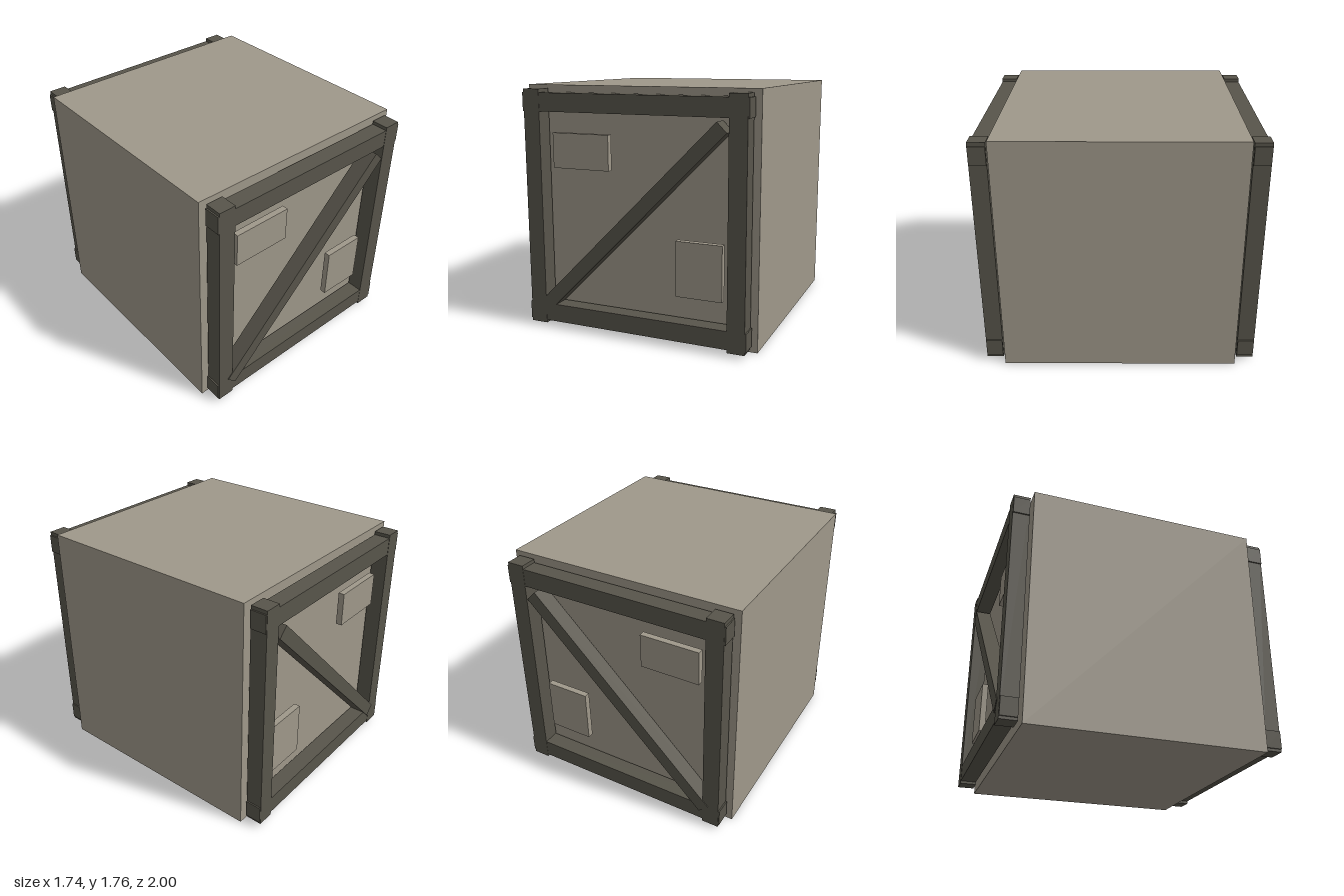
import * as THREE from 'three';

export function createModel() {
  const model = new THREE.Group();
  model.name = 'crate';

  const bodyColor = new THREE.MeshStandardMaterial({ color: 0x9f988a, flatShading: true });
  bodyColor.name = 'warm grey';
  const frameColor = new THREE.MeshStandardMaterial({ color: 0x58554b, flatShading: true });
  frameColor.name = 'dark olive grey';

  // Box given by its lower and upper limits on each axis
  function addBox(parent, name, material, [x0, x1], [y0, y1], [z0, z1]) {
    const mesh = new THREE.Mesh(new THREE.BoxGeometry(x1 - x0, y1 - y0, z1 - z0), material);
    mesh.position.set((x0 + x1) / 2, (y0 + y1) / 2, (z0 + z1) / 2);
    mesh.name = name;
    parent.add(mesh);
    return mesh;
  }

  // Main body
  addBox(model, 'body', bodyColor, [-0.872, 0.872], [0, 1.76], [-0.855, 0.855]);

  // The same frame stands off the front and the back
  for (const side of [1, -1]) {
    const end = new THREE.Group();
    end.name = side > 0 ? 'frontFrame' : 'backFrame';
    const depth = (near, far) => (side > 0 ? [near, far] : [-far, -near]);

    // Upright posts
    addBox(end, 'leftPost', frameColor, [0.70, 0.825], [0.03, 1.735], depth(0.872, 0.995));
    addBox(end, 'rightPost', frameColor, [-0.825, -0.70], [0.03, 1.735], depth(0.872, 0.995));

    // Cross rails, slightly wider than the posts
    addBox(end, 'topRail', frameColor, [-0.835, 0.835], [1.58, 1.71], depth(0.874, 0.993));
    addBox(end, 'bottomRail', frameColor, [-0.835, 0.835], [0.05, 0.18], depth(0.874, 0.993));

    // Diagonal brace
    const brace = addBox(end, 'brace', frameColor, [-0.965, 0.965], [-0.049, 0.049], depth(0.88, 1.0));
    brace.position.x = -0.0275;
    brace.position.y = 0.8375;
    brace.rotation.z = Math.PI / 4;

    // Small panels
    addBox(end, 'upperPanel', bodyColor, [-0.63, -0.19], [1.18, 1.43], depth(0.895, 0.94));
    addBox(end, 'lowerPanel', bodyColor, [0.31, 0.645], [0.35, 0.74], depth(0.895, 0.94));

    model.add(end);
  }

  return model;
}
